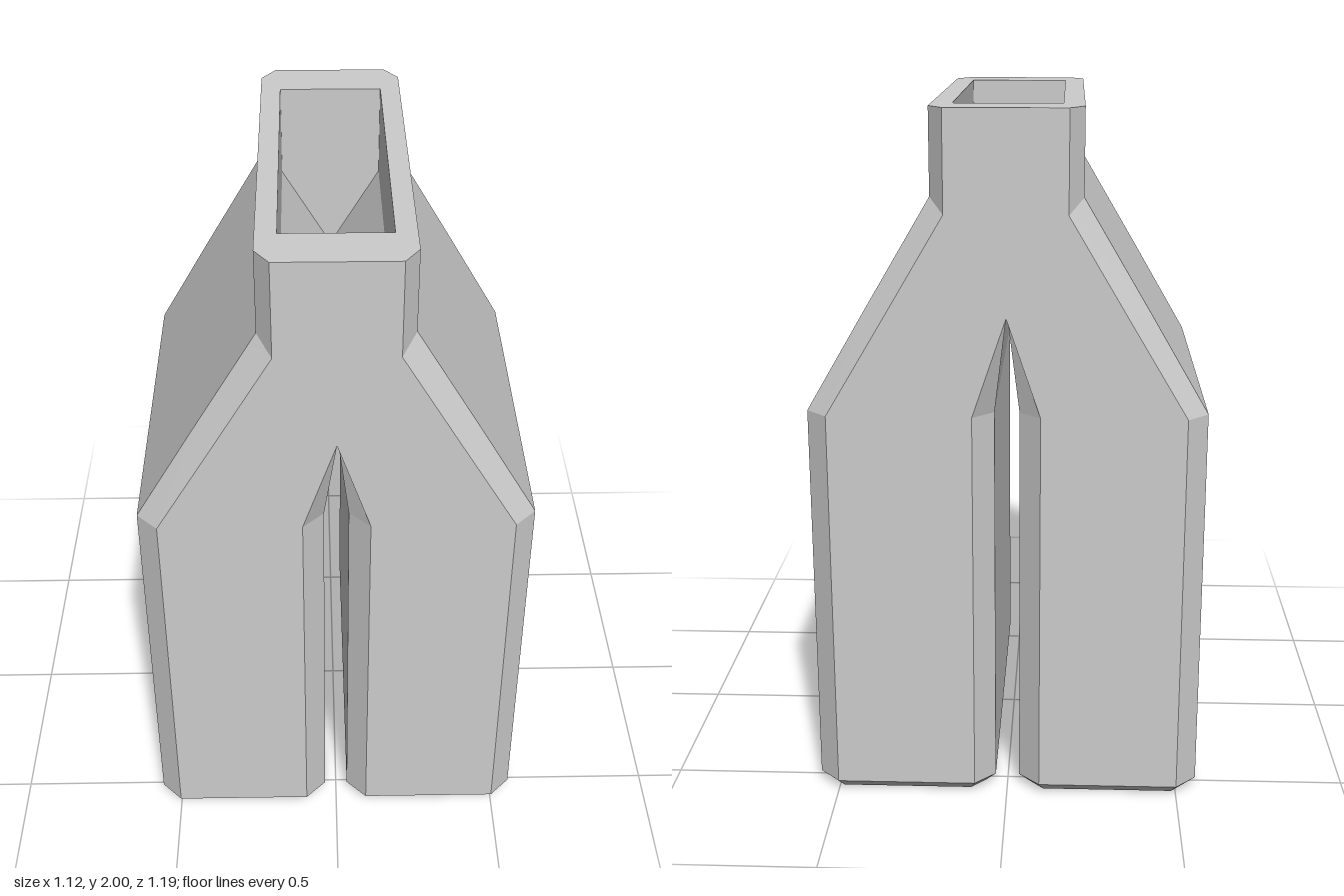
import * as THREE from 'three';

const material = new THREE.MeshStandardMaterial({ color: 0xcccccc, flatShading: true });

// Builds a flat-shaded mesh from quads given for the +x half, mirrored to -x
function mirroredMesh(name, quads) {
  const pos = [];
  const tri = (a, b, c) => pos.push(...a, ...b, ...c);
  const flip = ([x, y, z]) => [-x, y, z];
  for (const [a, b, c, d] of quads) {
    tri(a, b, c);
    tri(a, c, d);
    const [e, f, g, h] = [d, c, b, a].map(flip);
    tri(e, f, g);
    tri(e, g, h);
  }
  const geometry = new THREE.BufferGeometry();
  geometry.setAttribute('position', new THREE.Float32BufferAttribute(pos, 3));
  geometry.computeVertexNormals();
  const mesh = new THREE.Mesh(geometry, material);
  mesh.name = name;
  return mesh;
}

// Chamfered cross-section of one half: side walls at xi/xo, front and back edges at xif/xof
function section({ xi, xif, xof, xo, y, yo = y, zc = 0.535, zf = 0.595 }) {
  const half = [[xi, y, zc], [xif, y, zf], [xof, y, zf], [xo, yo, zc]];
  return [...half.map(([x, h, z]) => [x, h, -z]), ...half.reverse()];
}

export function createModel() {
  const group = new THREE.Group();
  group.name = 'splitHousing';

  // Body: two legs joining at the top of the slit, then shoulders and neck
  const rings = [
    { xi: 0.065, xif: 0.107, xof: 0.488, xo: 0.53, y: 0, zc: 0.52, zf: 0.565 },
    { xi: 0.035, xif: 0.095, xof: 0.5, xo: 0.56, y: 0.03 },
    { xi: 0.035, xif: 0.095, xof: 0.5, xo: 0.56, y: 1.16 },
    { xi: 0, xif: 0, xof: 0.333, xo: 0.397, y: 1.44 },
    { xi: 0, xif: 0, xof: 0.167, xo: 0.208, y: 1.72, yo: 1.76 },
    { xi: 0, xif: 0, xof: 0.167, xo: 0.208, y: 2 },
  ].map(section);
  const body = [];
  for (let r = 0; r < rings.length - 1; r++) {
    const lo = rings[r], hi = rings[r + 1];
    for (let i = 0; i < 8; i++) {
      const j = (i + 1) % 8;
      const quad = [lo[i], hi[i], hi[j], lo[j]];
      if (quad.some((p) => p[0] > 0)) body.push(quad); // no wall on the joined centre plane
    }
  }
  // Undersides of the legs
  for (const ids of [[0, 1, 6, 7], [1, 2, 5, 6], [2, 3, 4, 5]]) body.push(ids.map((i) => rings[0][i]));
  group.add(mirroredMesh('body', body));

  // Flat rim around the opening
  const rimShape = new THREE.Shape([
    [-0.167, -0.595], [0.167, -0.595], [0.208, -0.535], [0.208, 0.535],
    [0.167, 0.595], [-0.167, 0.595], [-0.208, 0.535], [-0.208, -0.535],
  ].map(([x, z]) => new THREE.Vector2(x, z)));
  const px = 0.15, pz = 0.448;
  rimShape.holes.push(new THREE.Path([
    [-px, -pz], [-px, pz], [px, pz], [px, -pz],
  ].map(([x, z]) => new THREE.Vector2(x, z))));
  const rim = new THREE.Mesh(new THREE.ShapeGeometry(rimShape).rotateX(-Math.PI / 2), material);
  rim.position.y = 2;
  rim.name = 'topRim';
  group.add(rim);

  // Pocket with straight walls and a V-shaped floor
  const profile = [[px, 2], [px, 1.73], [0, 1.48]];
  const pocket = [];
  for (let i = 0; i < 2; i++) {
    const [[x0, y0], [x1, y1]] = [profile[i], profile[i + 1]];
    pocket.push([[x0, y0, -pz], [x1, y1, -pz], [x1, y1, pz], [x0, y0, pz]]);
  }
  const end = [[0, 1.48], [px, 1.73], [px, 2], [0, 2]];
  pocket.push(end.map(([x, y]) => [x, y, -pz]));
  pocket.push(end.map(([x, y]) => [x, y, pz]).reverse());
  group.add(mirroredMesh('pocket', pocket));

  return group;
}
